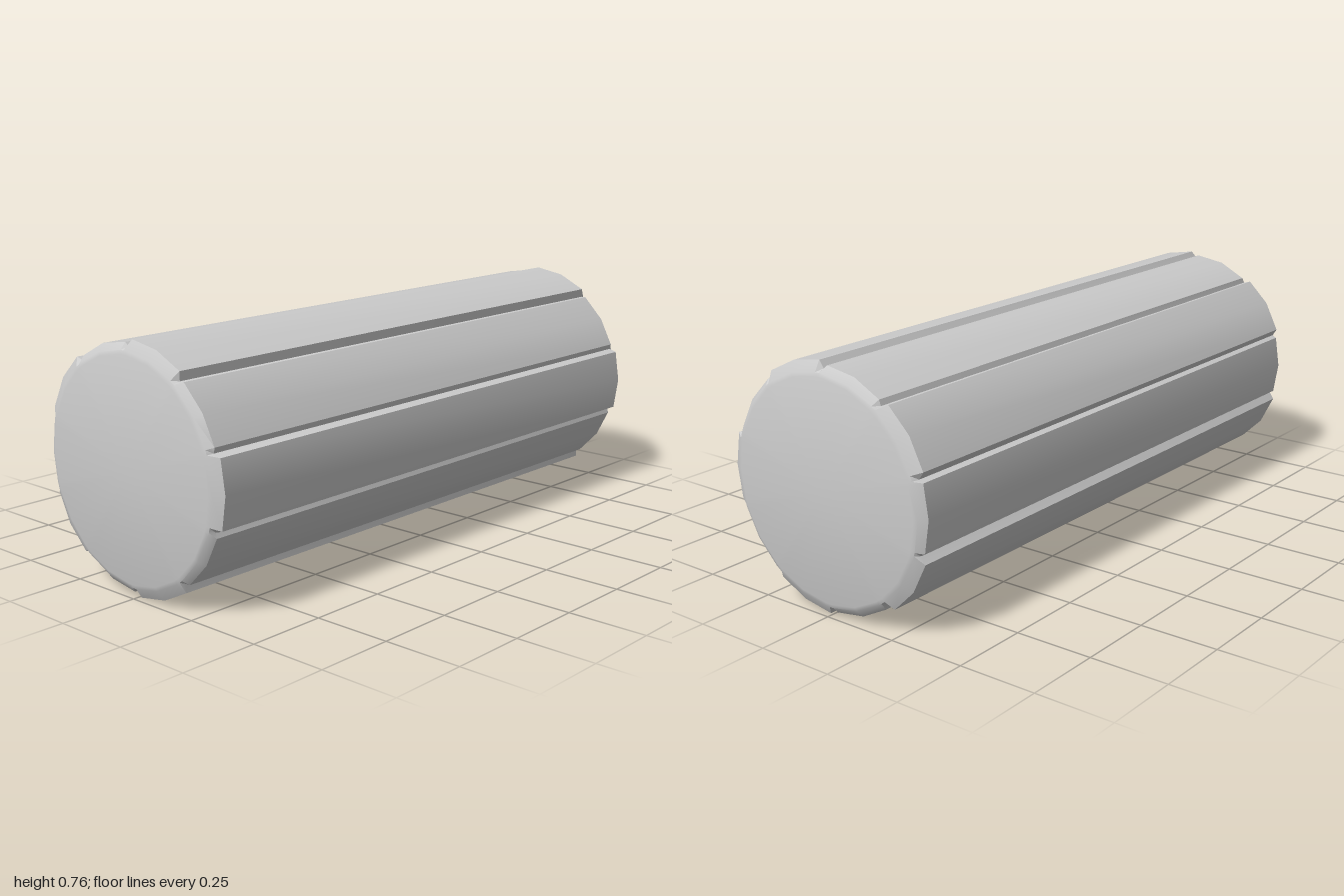
import * as THREE from 'three';
import { toCreasedNormals } from 'three/addons/utils/BufferGeometryUtils.js';

const CENTRE_Y = 0.383;

// Upper half of the grooved cross-section, from right (+x) over the top to left,
// relative to the axis; the lower half is its mirror image.
const UPPER = [
  [0.377, 0], [0.361, 0.103], [0.335, 0.111], [0.339, 0.128], [0.294, 0.216],
  [0.222, 0.29], [0.206, 0.29], [0.206, 0.318], [0.112, 0.364], [0.01, 0.381],
  [-0.006, 0.359], [-0.02, 0.37], [-0.121, 0.354], [-0.211, 0.307], [-0.217, 0.29],
  [-0.244, 0.298], [-0.316, 0.227], [-0.363, 0.133], [-0.348, 0.11], [-0.362, 0.102],
  [-0.378, 0],
];

// The section pulled in to a circle of the given radius (slightly off-axis)
function capRing(outline, radius) {
  return outline.map(([x, y]) => {
    const a = Math.atan2(y, x + 0.005);
    return [-0.005 + radius * Math.cos(a), radius * Math.sin(a)];
  });
}

function groovedBody() {
  const lower = UPPER.slice(1, -1).reverse().map(([x, y]) => [x, -y]);
  const outline = [...UPPER, ...lower];
  const n = outline.length;

  // Loops from the axis of the front cap outwards to the full section
  const end = [
    { z: 1, ring: capRing(outline, 0) },
    { z: 1, ring: capRing(outline, 0.338) },
    { z: 0.996, ring: capRing(outline, 0.35) },
    { z: 0.977, ring: outline },
  ];
  const rings = [...end.map(({ z, ring }) => ({ z: -z, ring })), ...end.slice().reverse()];

  const positions = [];
  const index = [];
  for (const { z, ring } of rings) {
    for (const [x, y] of ring) positions.push(x, y, z);
  }
  for (let r = 0; r < rings.length - 1; r++) {
    for (let i = 0; i < n; i++) {
      const j = (i + 1) % n;
      const a = r * n + i, b = r * n + j;
      if (r > 0) index.push(a, b, b + n);
      if (r < rings.length - 2) index.push(a, b + n, a + n);
    }
  }
  const geometry = new THREE.BufferGeometry();
  geometry.setAttribute('position', new THREE.Float32BufferAttribute(positions, 3));
  geometry.setIndex(index);
  return toCreasedNormals(geometry, 0.55);
}

export function createModel() {
  const group = new THREE.Group();
  group.name = 'groovedCylinder';

  // Solid roller with lengthwise grooves and bevelled ends
  const body = new THREE.Mesh(groovedBody(), new THREE.MeshStandardMaterial({ color: 0xcccccc }));
  body.name = 'groovedBody';
  body.position.y = CENTRE_Y - 0.002;
  group.add(body);
  return group;
}
